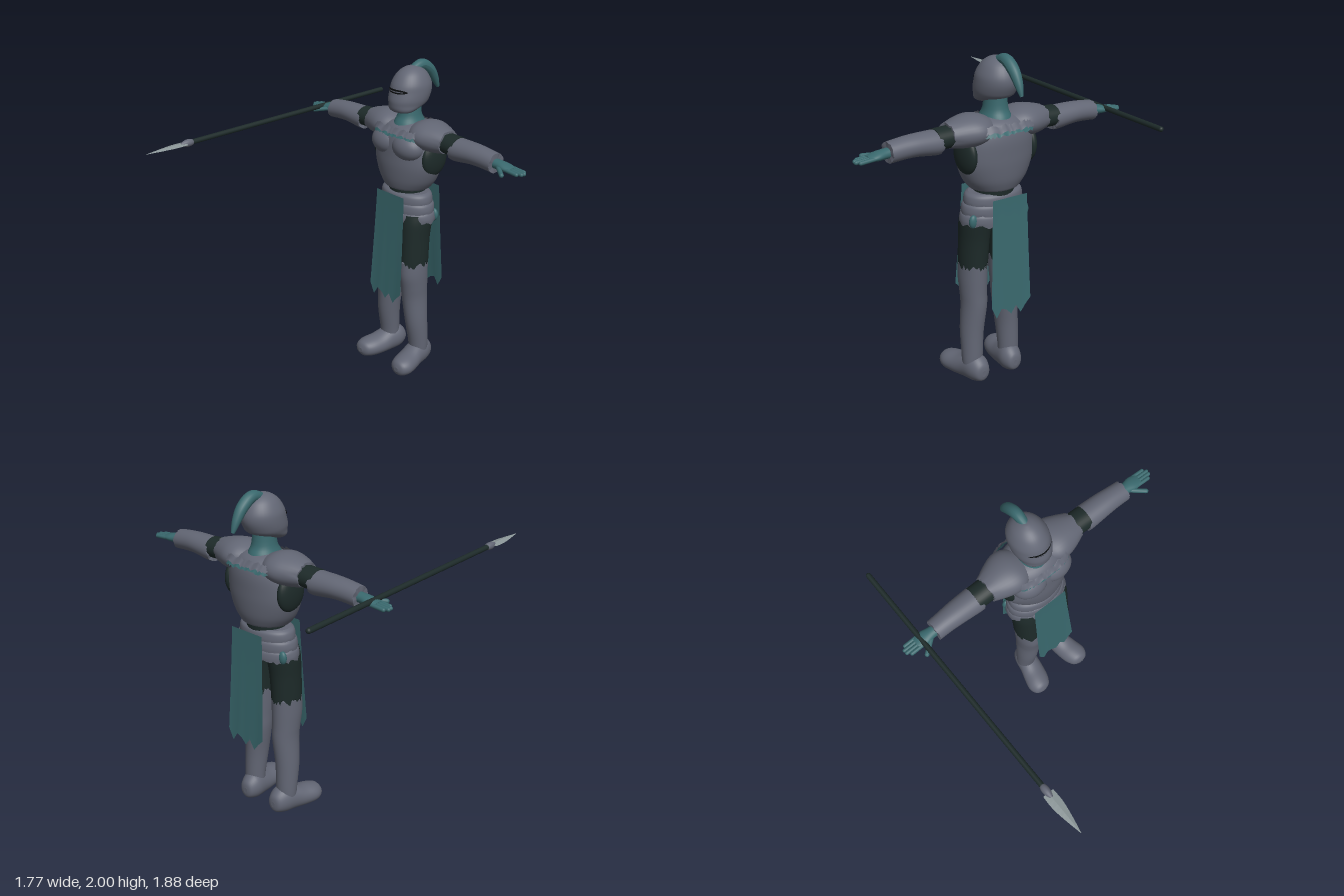
import * as THREE from 'three';

const mat = (name, color, side = THREE.FrontSide) => {
  const m = new THREE.MeshStandardMaterial({ color, side });
  m.name = name;
  return m;
};
const noise = (i) => {
  const s = Math.sin(i * 127.1 + 3.7) * 43758.5453;
  return (s - Math.floor(s)) * 2 - 1;
};
const spline = (a, b, c, d, t) =>
  b + 0.5 * t * (c - a + t * (2 * a - 5 * b + 4 * c - d + t * (3 * (b - c) + d - a)));

// Smooth closed skin through rising elliptical rings [y, cx, cz, rx, rz, raggedness]
function loft(rings, segs = 36, sub = 4) {
  const rows = [];
  const at = (k) => rings[Math.min(Math.max(k, 0), rings.length - 1)];
  for (let k = 0; k < rings.length - 1; k++)
    for (let s = 0; s < sub; s++)
      rows.push([0, 1, 2, 3, 4, 5].map((n) =>
        spline(...[-1, 0, 1, 2].map((o) => at(k + o)[n] || 0), s / sub)));
  rows.push(at(rings.length));
  const pos = [], idx = [];
  const addRow = (r) => {
    for (let i = 0; i < segs; i++) {
      const a = (i / segs) * Math.PI * 2;
      pos.push(r[1] + r[3] * Math.cos(a), r[0] + (r[5] || 0) * noise(i), r[2] + r[4] * Math.sin(a));
    }
  };
  rows.forEach(addRow);
  for (let j = 0; j < rows.length - 1; j++)
    for (let i = 0; i < segs; i++) {
      const a = j * segs + i, b = j * segs + ((i + 1) % segs);
      idx.push(a, a + segs, b, b, a + segs, b + segs);
    }
  for (const top of [false, true]) {
    const r = top ? rows[rows.length - 1] : rows[0], base = pos.length / 3;
    addRow(r);
    pos.push(r[1], r[0], r[2]);
    for (let i = 0; i < segs; i++) {
      const a = base + i, b = base + ((i + 1) % segs);
      idx.push(base + segs, top ? b : a, top ? a : b);
    }
  }
  const g = new THREE.BufferGeometry();
  g.setAttribute('position', new THREE.Float32BufferAttribute(pos, 3));
  g.setIndex(idx);
  g.computeVertexNormals();
  return g;
}
// Loft along x; rings are [x, cy, cz, ry, rz, raggedness]
const loftX = (rings, s) =>
  loft(rings.map(([x, y, z, ry, rz, j]) => [x, -s * y, z, ry, rz, j])).rotateZ((-s * Math.PI) / 2);
// Loft along z; rings are [z, cx, cy, rx, ry]
const loftZ = (rings, segs, sub) =>
  loft(rings.map(([z, x, y, rx, ry]) => [z, x, -y, rx, ry]), segs, sub).rotateX(Math.PI / 2);

// Thin sheet: fn(u from -1 to 1, v from 0 at top to 1, column) gives a point
function sheet(cols, rows, fn) {
  const g = new THREE.PlaneGeometry(2, 1, cols, rows), p = g.attributes.position;
  for (let i = 0; i < p.count; i++) p.setXYZ(i, ...fn(p.getX(i), 0.5 - p.getY(i), i % (cols + 1)));
  g.computeVertexNormals();
  return g;
}
const ball = (x, y, z, rx, ry, rz) =>
  new THREE.SphereGeometry(1, 32, 20).scale(rx, ry, rz).translate(x, y, z);
function rod(a, b, r) {
  const A = new THREE.Vector3(...a), B = new THREE.Vector3(...b), d = B.clone().sub(A);
  const q = new THREE.Quaternion().setFromUnitVectors(new THREE.Vector3(0, 1, 0), d.clone().normalize());
  return new THREE.CapsuleGeometry(r, d.length(), 6, 14).applyQuaternion(q).translate(...A.add(B).multiplyScalar(0.5).toArray());
}

export function createModel() {
  const model = new THREE.Group();
  const steel = mat('steel grey', 0x626674, THREE.DoubleSide);
  const teal = mat('teal cloth', 0x39686d, THREE.DoubleSide);
  const dark = mat('dark cloth', 0x1d2a29);
  const black = mat('visor black', 0x0b0e0f, THREE.DoubleSide);
  const blade = mat('pale blade', 0x8b9698);
  const add = (name, geometry, material) => {
    const m = new THREE.Mesh(geometry, material);
    m.name = name;
    model.add(m);
  };

  // Helmet, visor slit and neck
  add('helmet', loft([
    [1.708, 0, -0.36, 0.04, 0.03], [1.718, 0, -0.36, 0.075, 0.058], [1.735, 0, -0.375, 0.093, 0.085],
    [1.76, 0, -0.408, 0.105, 0.122], [1.79, 0, -0.42, 0.113, 0.134], [1.835, 0, -0.434, 0.115, 0.136],
    [1.88, 0, -0.438, 0.109, 0.128], [1.93, 0, -0.44, 0.083, 0.098], [1.96, 0, -0.44, 0.05, 0.058],
    [1.973, 0, -0.44, 0.018, 0.02], [1.975, 0, -0.44, 0.002, 0.002]]), steel);
  const slit = (w, h, out) => sheet(20, 2, (u, v) => {
    const x = u * w;
    return [x, 1.845 + (0.5 - v) * h * (1 - u ** 4), -0.435 + out * Math.sqrt(1 - (x / 0.117) ** 2)];
  });
  add('visorSlit', slit(0.08, 0.026, 0.139), black);
  add('visorBar', slit(0.065, 0.007, 0.142), steel);
  add('neck', loft([[1.59, 0, -0.43, 0.11, 0.12], [1.64, 0, -0.43, 0.085, 0.1],
    [1.69, 0, -0.43, 0.068, 0.075], [1.79, 0, -0.43, 0.06, 0.068]]), teal);

  // Curved plume: a tube swelling in the middle and tapering to the tip
  const curve = new THREE.CatmullRomCurve3([[1.95, -0.445], [1.967, -0.52], [1.925, -0.59], [1.865, -0.635], [1.8, -0.668]]
    .map(([y, z]) => new THREE.Vector3(0, y, z)));
  const plume = new THREE.TubeGeometry(curve, 32, 1, 16), pp = plume.attributes.position, v = new THREE.Vector3();
  for (let i = 0; i < pp.count; i++) {
    const t = Math.floor(i / 17) / 32, c = curve.getPointAt(t);
    const r = 0.004 + 0.03 * Math.sin(Math.PI * Math.min(1, 0.2 + 0.77 * t)) ** 0.7;
    v.fromBufferAttribute(pp, i).sub(c).multiplyScalar(r).add(c);
    pp.setXYZ(i, v.x, v.y, v.z);
  }
  plume.computeVertexNormals();
  add('plume', plume, teal);

  // Breastplate and waist
  add('breastplate', loft([
    [1.235, 0, -0.425, 0.15, 0.13], [1.25, 0, -0.425, 0.165, 0.138], [1.3, 0, -0.427, 0.2, 0.152],
    [1.38, 0, -0.428, 0.23, 0.161], [1.45, 0, -0.43, 0.235, 0.162], [1.53, 0, -0.432, 0.222, 0.16],
    [1.59, 0, -0.434, 0.19, 0.145], [1.63, 0, -0.435, 0.14, 0.11], [1.655, 0, -0.435, 0.06, 0.05]], 48), steel);
  add('waist', loft([[1.16, 0, -0.425, 0.115, 0.11], [1.27, 0, -0.425, 0.125, 0.115]]), dark);

  // Front and back: ragged collars and hanging tabards
  const hem = [0.56, 0.49, 0.545, 0.53, 0.495, 0.54, 0.485, 0.53, 0.565];
  for (const f of [1, -1]) {
    const side = f > 0 ? 'front' : 'back';
    const collar = (w, y0, y1, out, seed) => sheet(36, 2, (u, t, c) => {
      const x = f * u * w;
      return [x, y0 + (y1 - y0) * t + (t > 0.9 || t < 0.1 ? 0.008 * noise(c + seed) : 0),
        -0.434 + f * (out - 0.025 * (1 - t)) * Math.sqrt(1 - (x / 0.22) ** 4)];
    });
    add(side + 'CollarTrim', collar(0.19, 1.625, 1.592, 0.166, 5), steel);
    add(side + 'CollarCloth', collar(0.185, 1.61, 1.572, 0.163, 40), teal);
    add(side + 'Tabard', sheet(8, 12, (u, t, c) => [
      f * u * (0.115 + 0.02 * t),
      1.205 + (hem[c] - 1.205) * t,
      (f > 0 ? -0.275 : -0.587) + f * 0.034 * t ** 1.2]), teal);
  }

  // Layered hip plates with ragged lower edges
  [[1.21, 0.17, 0.115], [1.155, 0.185, 0.124], [1.1, 0.195, 0.13]].forEach(([y, rx, rz], i) =>
    add('hipPlate' + (i + 1), loft([
      [y - 0.07, 0, -0.42, rx + 0.013, rz + 0.008, 0.012], [y - 0.045, 0, -0.42, rx + 0.014, rz + 0.009],
      [y - 0.015, 0, -0.42, rx + 0.006, rz + 0.004], [y, 0, -0.42, rx - 0.015, rz - 0.012]], 60), steel));

  for (const s of [1, -1]) {
    const n = s > 0 ? 'left' : 'right';
    // Chest and shoulder
    add(n + 'ChestBulge', ball(s * 0.085, 1.515, -0.335, 0.112, 0.085, 0.085), steel);
    add(n + 'ArmholeCloth', ball(s * 0.2, 1.45, -0.44, 0.043, 0.115, 0.1), dark);
    add(n + 'HipCloth', ball(s * 0.175, 1.06, -0.485, 0.027, 0.04, 0.02), teal);
    add(n + 'ShoulderPlate', loftX([
      [0.06, 1.59, -0.438, 0.055, 0.09], [0.12, 1.59, -0.438, 0.08, 0.13], [0.18, 1.587, -0.438, 0.089, 0.135],
      [0.25, 1.582, -0.436, 0.083, 0.112], [0.315, 1.578, -0.434, 0.068, 0.082, 0.006]], s), steel);

    // Arm
    add(n + 'Sleeve', loftX([[0.22, 1.575, -0.436, 0.062, 0.072], [0.4, 1.57, -0.436, 0.06, 0.072]], s), dark);
    add(n + 'ForearmPlate', loftX([
      [0.38, 1.557, -0.436, 0.068, 0.077, 0.007], [0.41, 1.557, -0.436, 0.069, 0.078],
      [0.52, 1.563, -0.435, 0.062, 0.072], [0.6, 1.56, -0.434, 0.06, 0.066], [0.68, 1.552, -0.433, 0.058, 0.063, 0.004]], s), steel);

    // Hand
    add(n + 'Palm', loftX([
      [0.64, 1.552, -0.433, 0.03, 0.033], [0.7, 1.55, -0.434, 0.028, 0.035],
      [0.75, 1.547, -0.436, 0.024, 0.043], [0.8, 1.542, -0.436, 0.014, 0.038]], s), teal);
    [0.855, 0.872, 0.87, 0.85].forEach((end, i) => {
      const z = -0.466 + i * 0.02;
      add(n + 'Finger' + (i + 1), rod([s * 0.76, 1.545, z], [s * end, 1.538, z], 0.0115), teal);
    });
    add(n + 'Thumb', rod([s * 0.715, 1.545, -0.41], [s * 0.79, 1.532, -0.352], 0.0135), teal);

    // Leg
    add(n + 'Thigh', loft([
      [0.755, s * 0.108, -0.384, 0.083, 0.098, 0.022], [0.8, s * 0.108, -0.385, 0.084, 0.098],
      [0.92, s * 0.106, -0.39, 0.086, 0.1], [1.02, s * 0.104, -0.4, 0.092, 0.105],
      [1.08, s * 0.1, -0.41, 0.09, 0.105]], 48), dark);
    add(n + 'LegPlate', loft([
      [0.12, s * 0.13, -0.42, 0.062, 0.06], [0.18, s * 0.13, -0.417, 0.064, 0.063],
      [0.33, s * 0.124, -0.402, 0.069, 0.076], [0.49, s * 0.109, -0.398, 0.074, 0.087],
      [0.58, s * 0.109, -0.39, 0.077, 0.092], [0.67, s * 0.109, -0.382, 0.081, 0.099],
      [0.76, s * 0.108, -0.384, 0.081, 0.096]]), steel);
    add(n + 'Boot', loftZ([
      [-0.525, s * 0.115, 0.08, 0.015, 0.02], [-0.513, s * 0.117, 0.084, 0.046, 0.055],
      [-0.46, s * 0.12, 0.092, 0.07, 0.085], [-0.39, s * 0.13, 0.084, 0.073, 0.082],
      [-0.32, s * 0.145, 0.069, 0.079, 0.069], [-0.25, s * 0.16, 0.064, 0.079, 0.062],
      [-0.2, s * 0.165, 0.062, 0.056, 0.047], [-0.182, s * 0.167, 0.06, 0.018, 0.015]]), steel);
  }

  // Spear
  const sx = -0.765, sy = 1.555;
  add('spearShaft', rod([sx, sy, -0.928], [sx, sy, 0.64], 0.0155), dark);
  add('spearCollar', loftZ([
    [0.615, sx, sy, 0.014, 0.014], [0.635, sx, sy, 0.021, 0.021],
    [0.665, sx, sy, 0.021, 0.021], [0.7, sx, sy, 0.01, 0.01]], 16), steel);
  const tip = loftZ([
    [0.67, sx, sy, 0.033, 0.006], [0.75, sx, sy, 0.034, 0.008],
    [0.84, sx, sy, 0.021, 0.007], [0.94, sx, sy, 0.001, 0.001]], 4, 3).toNonIndexed();
  tip.computeVertexNormals();
  add('spearBlade', tip, blade);

  return model;
}
